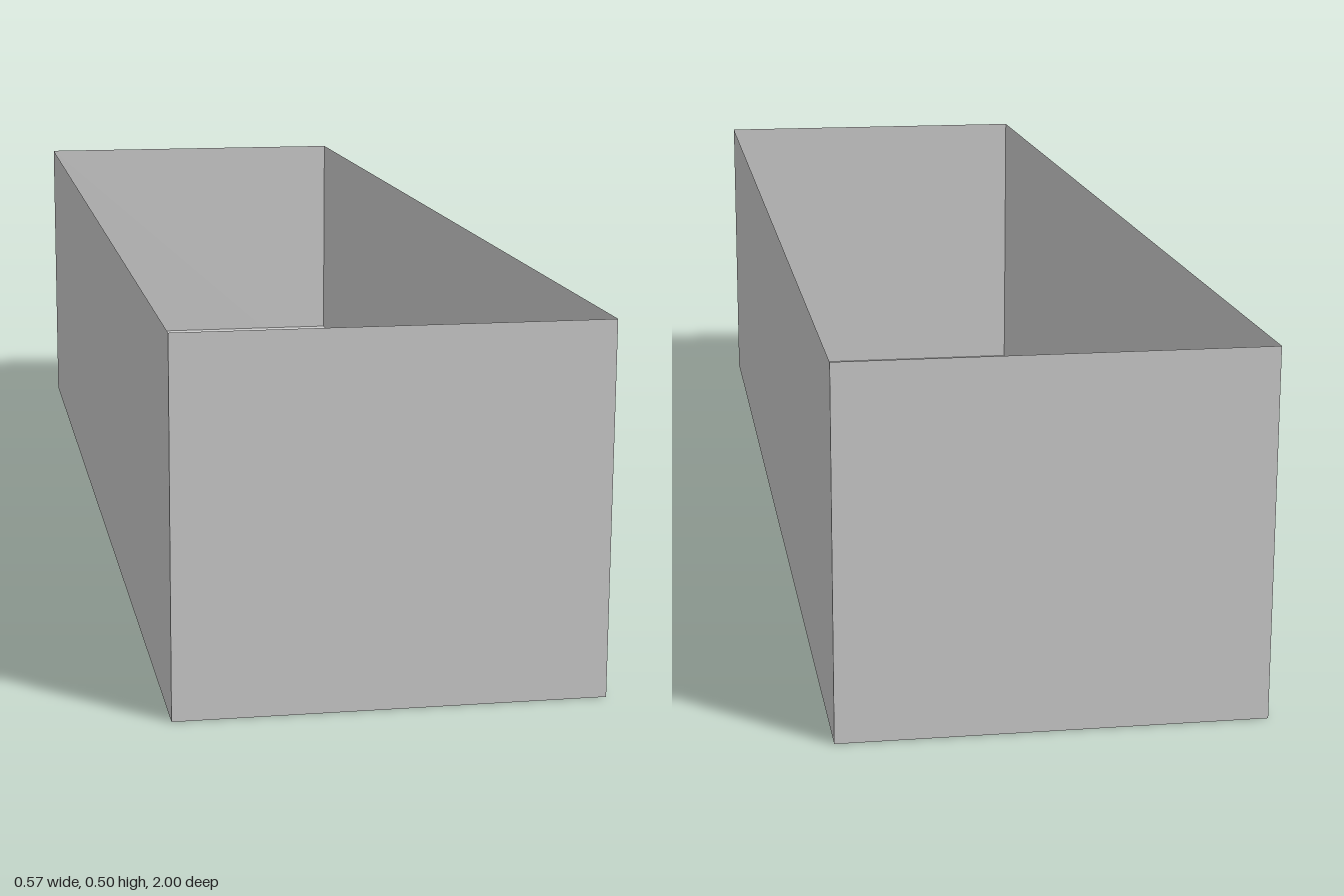
import * as THREE from 'three';

export function createModel() {
  const group = new THREE.Group();
  const material = new THREE.MeshStandardMaterial({
    color: 0xcccccc, side: THREE.DoubleSide, flatShading: true,
  });
  const W = 0.571, H = 0.502, L = 2;
  const riserZ = [0.571, 0.143, -0.286, -0.714];
  const stepHeight = 0.0286;

  const addSheet = (name, width, height, position, rotation = [0, 0, 0]) => {
    const mesh = new THREE.Mesh(new THREE.PlaneGeometry(width, height), material);
    mesh.name = name;
    mesh.position.set(...position);
    mesh.rotation.set(...rotation);
    group.add(mesh);
  };

  // Thin outer walls, open at the top
  addSheet('frontWall', W, H, [0, H / 2, L / 2]);
  addSheet('backWall', W, H, [0, H / 2, -L / 2], [0, Math.PI, 0]);
  addSheet('leftWall', L, H, [W / 2, H / 2, 0], [0, Math.PI / 2, 0]);
  addSheet('rightWall', L, H, [-W / 2, H / 2, 0], [0, -Math.PI / 2, 0]);

  // Floor treads climbing from front to back
  const edges = [L / 2, ...riserZ, -L / 2];
  for (let i = 0; i < edges.length - 1; i++) {
    const depth = edges[i] - edges[i + 1];
    addSheet('floorTread', W, depth, [0, i * stepHeight, edges[i] - depth / 2], [-Math.PI / 2, 0, 0]);
  }

  // Risers reach down to the ground as supports
  riserZ.forEach((z, i) => {
    const height = (i + 1) * stepHeight;
    addSheet('riser', W, height, [0, height / 2, z]);
  });

  // Extra support beneath the fourth tread
  const supportHeight = 3 * stepHeight;
  addSheet('floorSupport', W, supportHeight, [0, supportHeight / 2, -0.571]);

  return group;
}
